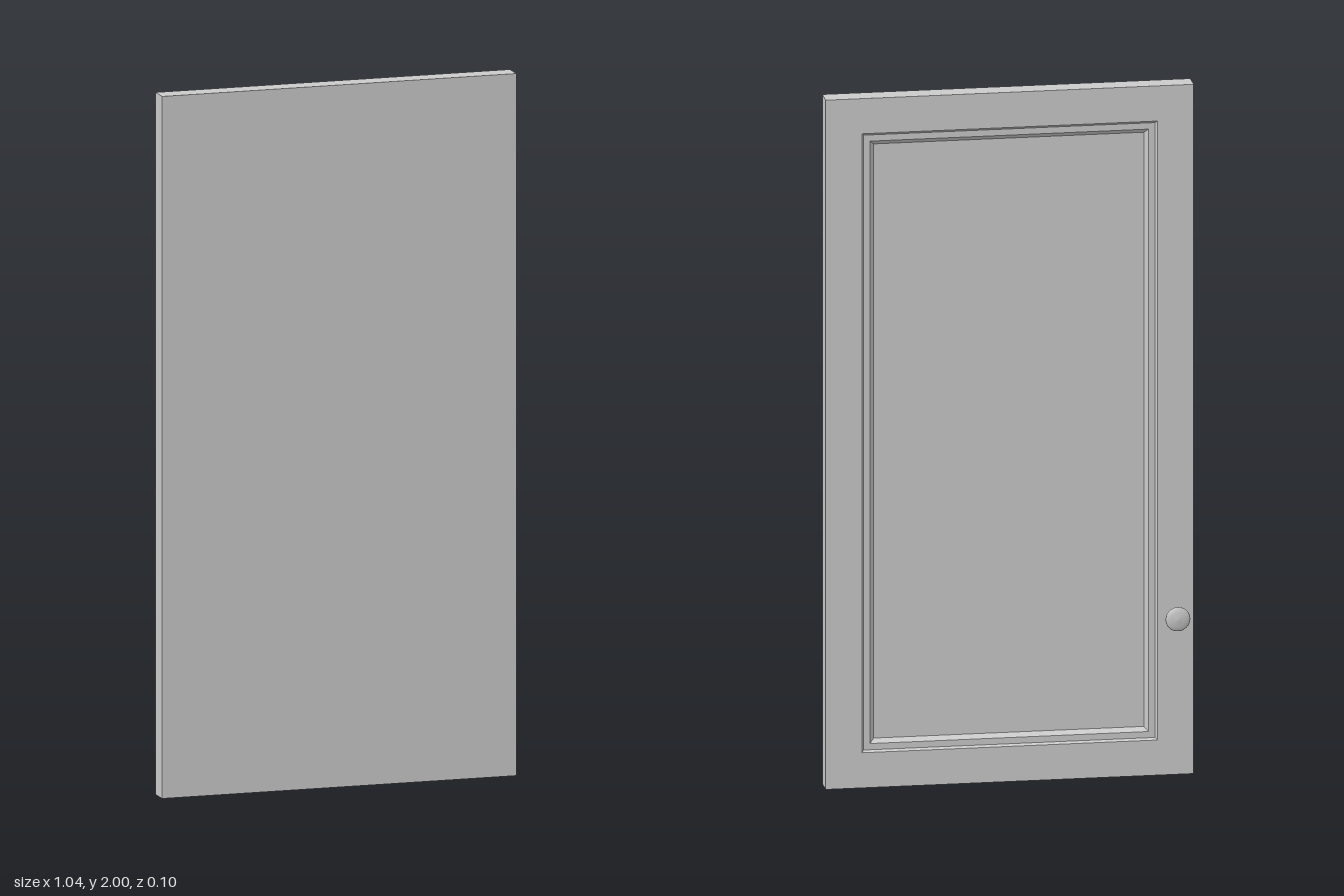
import * as THREE from 'three';

const W = 1.04, H = 2;
const material = new THREE.MeshStandardMaterial({ color: 0xcccccc });

// Rectangle corners, inset from the door's outline, at depth z
function loop(inset, z) {
  const x = W / 2 - inset, y0 = inset, y1 = H - inset;
  return [[-x, y0, z], [x, y0, z], [x, y1, z], [-x, y1, z]];
}

// Mitred rings joining successive rectangles, front to back, closed at both ends
function mitredSolid(profile) {
  const loops = profile.map(([inset, z]) => loop(inset, z));
  const pos = [];
  const quad = (a, b, c, d) => pos.push(...a, ...b, ...c, ...a, ...c, ...d);
  quad(...loops[0]);
  for (let i = 0; i < loops.length - 1; i++) {
    const p = loops[i], q = loops[i + 1];
    for (let k = 0; k < 4; k++) {
      const n = (k + 1) % 4;
      quad(p[k], q[k], q[n], p[n]);
    }
  }
  const [a, b, c, d] = loops[loops.length - 1];
  quad(d, c, b, a);
  const geometry = new THREE.BufferGeometry();
  geometry.setAttribute('position', new THREE.Float32BufferAttribute(pos, 3));
  geometry.computeVertexNormals();
  return geometry;
}

export function createModel() {
  const group = new THREE.Group();
  group.name = 'cabinetDoor';

  // Flat slab with a stepped, moulded recess on the back
  const door = new THREE.Mesh(mitredSolid([
    [0, 0.05], [0, -0.01],
    [0.102, -0.01], [0.108, -0.004],
    [0.126, -0.004], [0.138, 0.008],
  ]), material);
  door.name = 'doorPanel';
  group.add(door);

  // Turned knob: flared stem and shallow domed head
  const profile = [
    [0, -0.002], [0.023, -0.002], [0.021, 0.006], [0.021, 0.026], [0.024, 0.03],
    [0.033, 0.032], [0.035, 0.035], [0.033, 0.038], [0.02, 0.042], [0, 0.044],
  ].map(([r, h]) => new THREE.Vector2(r, h));
  const knob = new THREE.Mesh(new THREE.LatheGeometry(profile, 32), material);
  knob.name = 'knob';
  knob.rotation.x = -Math.PI / 2;
  knob.position.set(-0.47, 0.46, -0.01);
  group.add(knob);

  return group;
}
